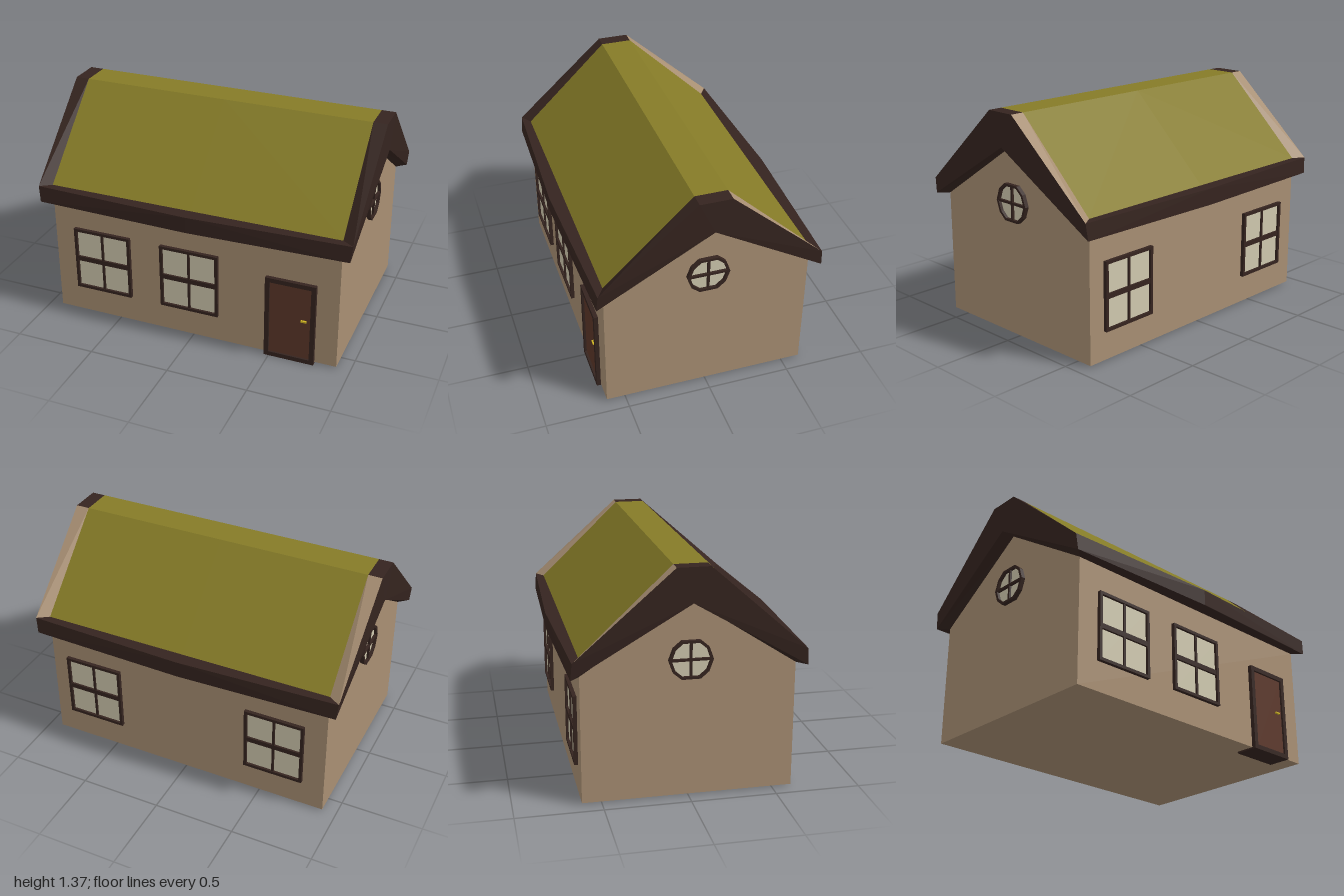
import * as THREE from 'three';

const mat = (color) => new THREE.MeshStandardMaterial({ color, flatShading: true });
const wallMat = mat(0xa88f73), trimMat = mat(0x35241f), mossMat = mat(0x857b27);
const doorMat = mat(0x5c3729), glassMat = mat(0xd0c9af), brassMat = mat(0xd0b422);

function add(parent, name, geometry, material, x = 0, y = 0, z = 0) {
  const mesh = new THREE.Mesh(geometry, material);
  mesh.name = name;
  mesh.position.set(x, y, z);
  parent.add(mesh);
  return mesh;
}

const box = (w, h, d) => new THREE.BoxGeometry(w, h, d);
const outline = (pts) => pts.map(([x, y]) => new THREE.Vector2(x, y));
const rect = (w, h) => [[-w / 2, -h / 2], [w / 2, -h / 2], [w / 2, h / 2], [-w / 2, h / 2]];

// Solid from an outline, with an optional hole, extruded along +z
function slab(pts, depth, hole) {
  const shape = new THREE.Shape(outline(pts));
  if (hole) shape.holes.push(new THREE.Path(outline(hole)));
  return new THREE.ExtrudeGeometry(shape, { depth, bevelEnabled: false });
}

// Window facing +z, its back on the wall plane: frame, pane and crossed bars
function makeWindow(name, outer, inner, w, h, depth, barH, barV) {
  const g = new THREE.Group();
  g.name = name;
  add(g, 'windowFrame', slab(outer, depth + 0.02, inner), trimMat, 0, 0, -0.02);
  add(g, 'windowPane', slab(inner, 0.02), glassMat, 0, 0, -0.013);
  add(g, 'horizontalBar', box(w, barH, depth * 0.9), trimMat, 0, 0, depth * 0.45);
  add(g, 'verticalBar', box(barV, h, depth * 0.8), trimMat, 0, 0, depth * 0.4);
  return g;
}

// Roof faces for one quarter, mirrored into all four
function makeRoof() {
  const roof = new THREE.Group();
  roof.name = 'roof';
  const A = [0.915, 1.365, 0.095], B = [1, 1.365, 0.095], C = [0.985, 0.865, 0.66];
  const D = [0.915, 0.865, 0.613], E = [0.975, 0.765, 0.668], F = [0, 0.865, 0.697];
  const G = [0, 0.765, 0.697], H = [0.915, 0.765, 0.613], I = [0.915, 1.165, 0];
  const J = [1, 1.165, 0], K = [1, 1.365, 0], L = [0.915, 1.365, 0];
  const M = [0, 1.365, 0], N = [0, 1.365, 0.095], O = [0, 0.865, 0.613], P = [0, 0.765, 0.613];
  const faces = [
    ['mossSlope', mossMat, [N, O, D, A]],
    ['mossRidge', mossMat, [M, N, A, L]],
    ['ridgeEnd', trimMat, [L, A, B, K]],
    ['vergeStrip', trimMat, [A, D, C, B]],
    ['eavesLedge', trimMat, [O, F, C, D]],
    ['fascia', trimMat, [F, G, E, C]],
    ['soffit', trimMat, [P, H, E, G]],
    ['gableBoard', trimMat, [J, K, B, C, E]],
    ['gableSoffit', trimMat, [I, J, E, H]],
  ];
  for (const [name, material, pts] of faces) {
    for (const sz of [1, -1]) {
      const positions = [];
      for (const sx of [1, -1]) {
        const ring = pts.map(([x, y, z]) => [x * sx, y, z * sz]);
        if (sx * sz < 0) ring.reverse();
        // keep the fan starting at the same corner
        if (sx * sz < 0) ring.unshift(ring.pop());
        for (let i = 1; i < ring.length - 1; i++) positions.push(...ring[0], ...ring[i], ...ring[i + 1]);
      }
      const geo = new THREE.BufferGeometry();
      geo.setAttribute('position', new THREE.Float32BufferAttribute(positions, 3));
      geo.computeVertexNormals();
      // the rear verge strips are left in the wall colour
      const rearStrip = name === 'vergeStrip' && sz < 0;
      add(roof, name + (sz > 0 ? 'Front' : 'Back'), geo, rearStrip ? wallMat : material);
    }
  }
  return roof;
}

function makeDoor() {
  const door = new THREE.Group();
  door.name = 'door';
  const w = 0.31, h = 0.54, t = 0.028;
  add(door, 'doorFrame', slab(rect(w, h), 0.14, rect(w - 2 * t, h - 2 * t)), trimMat, 0, h / 2, -0.115);
  add(door, 'doorPanel', box(w - 2 * t, h - t, 0.125), doorMat, 0, (h - t) / 2 + 0.002, -0.05);
  add(door, 'doorHandle', box(0.035, 0.01, 0.014), brassMat, 0.085, 0.288, 0.018);
  door.position.set(0.625, 0, 0.613);
  return door;
}

export function createModel() {
  const house = new THREE.Group();
  house.name = 'cottage';

  // Walls with both gables
  const gable = [[-0.613, 0.01], [0.613, 0.01], [0.613, 0.765], [0, 1.165], [-0.613, 0.765]];
  const walls = slab(gable, 1.83);
  walls.translate(0, 0, -0.915);
  walls.rotateY(Math.PI / 2);
  add(house, 'walls', walls, wallMat);

  house.add(makeRoof(), makeDoor());

  // Square windows, two in front and two behind
  const w = 0.375, h = 0.415;
  for (const [x, side] of [[-0.592, 1], [-0.017, 1], [0.622, -1], [-0.592, -1]]) {
    const win = makeWindow('squareWindow', rect(w, h), rect(w - 0.036, h - 0.036), w - 0.03, h - 0.03, 0.022, 0.03, 0.014);
    win.position.set(x, 0.393, side * 0.613);
    if (side < 0) win.rotation.y = Math.PI;
    house.add(win);
  }

  // Ten-sided windows in the gables
  const half = [[0.127, 0], [0.102, 0.07], [0.054, 0.111], [-0.054, 0.111], [-0.102, 0.07]];
  const ring = [...half, ...half.map(([x, y]) => [-x, -y])];
  const inner = ring.map(([x, y]) => [x * 0.87, y * 0.87]);
  for (const side of [1, -1]) {
    const win = makeWindow('roundWindow', ring, inner, 0.23, 0.2, 0.025, 0.014, 0.014);
    win.position.set(side * 0.915, 0.825, 0.005);
    win.rotation.y = side * Math.PI / 2;
    house.add(win);
  }
  return house;
}
